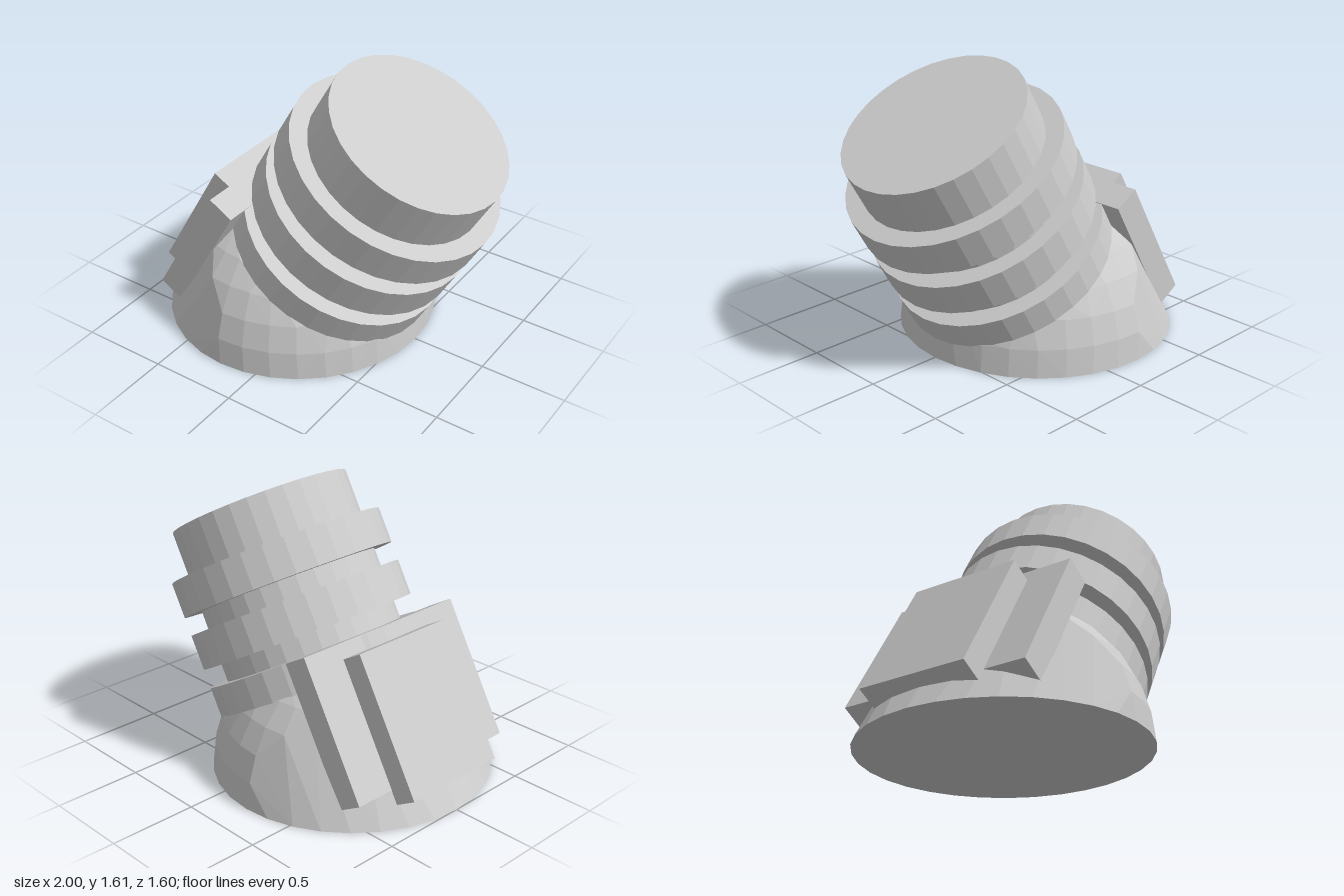
import * as THREE from 'three';
import { ConvexGeometry } from 'three/addons/geometries/ConvexGeometry.js';

const SIDES = 32;
const TILT = Math.PI / 6;
const FOOT_X = -0.234; // where the tilted axis meets the ground
const material = new THREE.MeshStandardMaterial({ color: 0xcccccc, flatShading: true });

function add(parent, name, geometry, x = 0, y = 0, z = 0) {
  const mesh = new THREE.Mesh(geometry, material);
  mesh.name = name;
  mesh.position.set(x, y, z);
  parent.add(mesh);
}

// Domed base: ground ring, partial dome and tilted collar ring wrapped in one hull
function baseGeometry() {
  const points = [];
  const axis = new THREE.Vector3(0, 0, 1);
  for (let i = 0; i < SIDES; i++) {
    const a = (i / SIDES) * Math.PI * 2;
    const c = Math.cos(a), s = Math.sin(a);
    points.push(new THREE.Vector3(-0.217 + 0.783 * c, 0, 0.8 * s));
    const collar = new THREE.Vector3(0.62 * c, 0.5, 0.62 * s).applyAxisAngle(axis, -TILT);
    collar.x += FOOT_X;
    points.push(collar);
    // dome bands, left open on the sloping side and cut off under the collar
    for (let band = 1; band < 6; band++) {
      const lat = (band * Math.PI) / 16;
      const x = 0.8 * Math.cos(lat) * c, y = 0.8 * Math.sin(lat);
      const along = x * Math.sin(TILT) + y * Math.cos(TILT);
      if (x + FOOT_X > -0.15 - 0.6 * y && along < 0.5) {
        points.push(new THREE.Vector3(x + FOOT_X, y, 0.8 * Math.cos(lat) * s));
      }
    }
  }
  return new ConvexGeometry(points);
}

export function createModel() {
  const model = new THREE.Group();
  model.name = 'tiltedRibbedNozzle';
  add(model, 'base', baseGeometry());

  // Everything on the tilted axis
  const tilted = new THREE.Group();
  tilted.name = 'tiltedBody';
  tilted.position.x = FOOT_X;
  tilted.rotation.z = -TILT;
  model.add(tilted);

  add(tilted, 'barrel', new THREE.CylinderGeometry(0.524, 0.524, 1.109, SIDES), 0, 1.0045);
  for (const top of [0.663, 0.977, 1.29]) {
    add(tilted, 'rib', new THREE.CylinderGeometry(0.627, 0.627, 0.205, SIDES), 0, top - 0.1025);
  }

  // Stepped plates on the back of the body
  add(tilted, 'innerPlate', new THREE.BoxGeometry(0.16, 0.808, 1.128), -0.525, 0.263);
  add(tilted, 'outerPlate', new THREE.BoxGeometry(0.14, 0.805, 0.648), -0.67, 0.18);
  return model;
}
